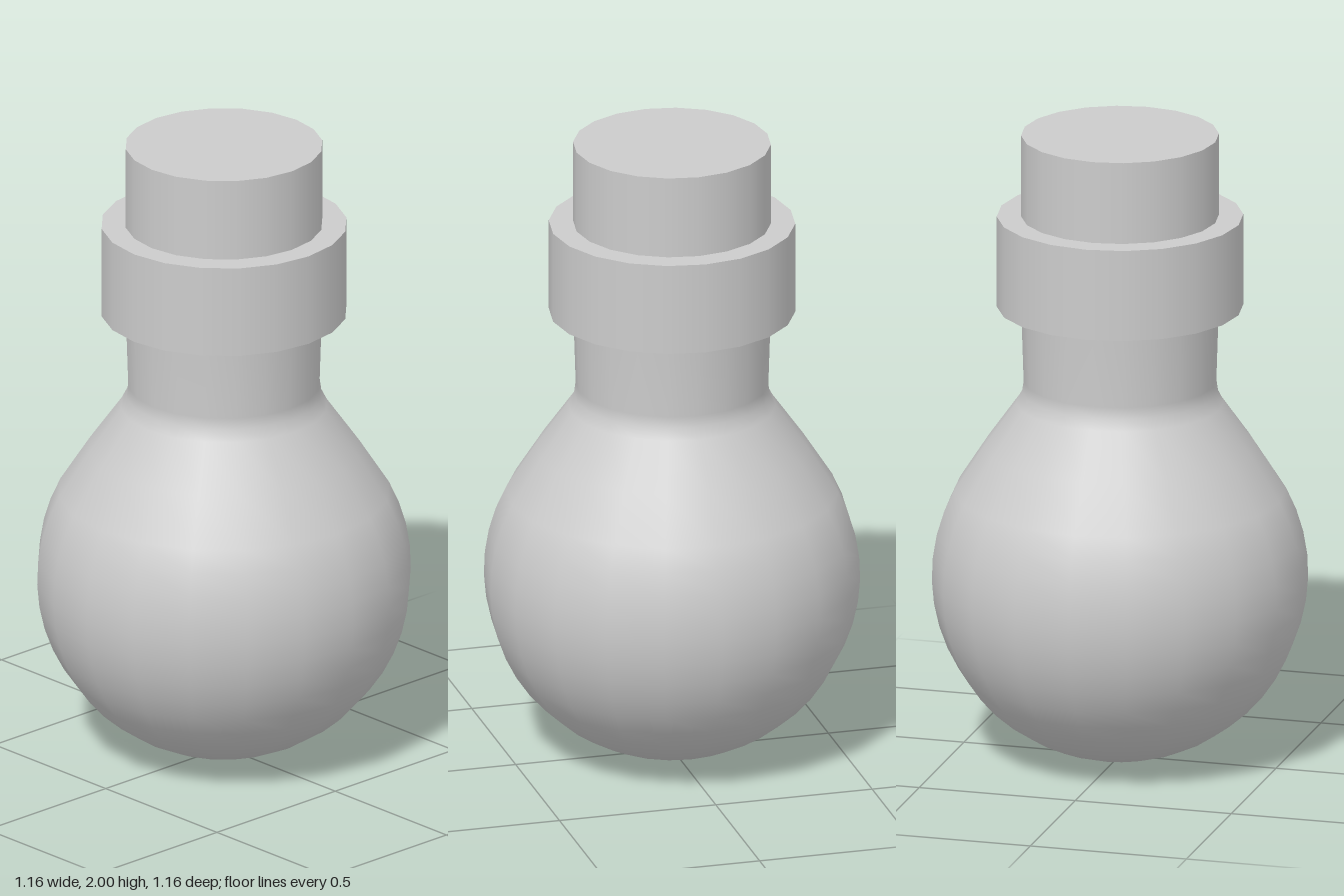
import * as THREE from 'three';

const SIDES = 20;

export function createModel() {
  const group = new THREE.Group();
  const material = new THREE.MeshStandardMaterial({ color: 0xcccccc });

  function add(name, geometry, y = 0) {
    const mesh = new THREE.Mesh(geometry, material);
    mesh.name = name;
    mesh.position.y = y;
    group.add(mesh);
  }

  // Glass bulb: round bowl, sloping shoulder and narrow neck
  const profile = [];
  const steps = 16;
  for (let i = 0; i <= steps; i++) {
    const a = (i / steps) * THREE.MathUtils.degToRad(118);
    profile.push(new THREE.Vector2(0.58 * Math.sin(a), 0.585 - 0.58 * Math.cos(a)));
  }
  profile[0].set(0, 0.002);
  for (const [r, y] of [[0.42, 1.0], [0.32, 1.14], [0.302, 1.175], [0.297, 1.21], [0.305, 1.46]]) {
    profile.push(new THREE.Vector2(r, y));
  }
  add('glassBulb', new THREE.LatheGeometry(profile, SIDES));

  // Wide collar around the neck
  add('collar', new THREE.CylinderGeometry(0.38, 0.38, 0.29, SIDES), 1.595);

  // Plug rising out of the collar
  add('plug', new THREE.CylinderGeometry(0.305, 0.305, 0.26, SIDES), 1.87);

  return group;
}
